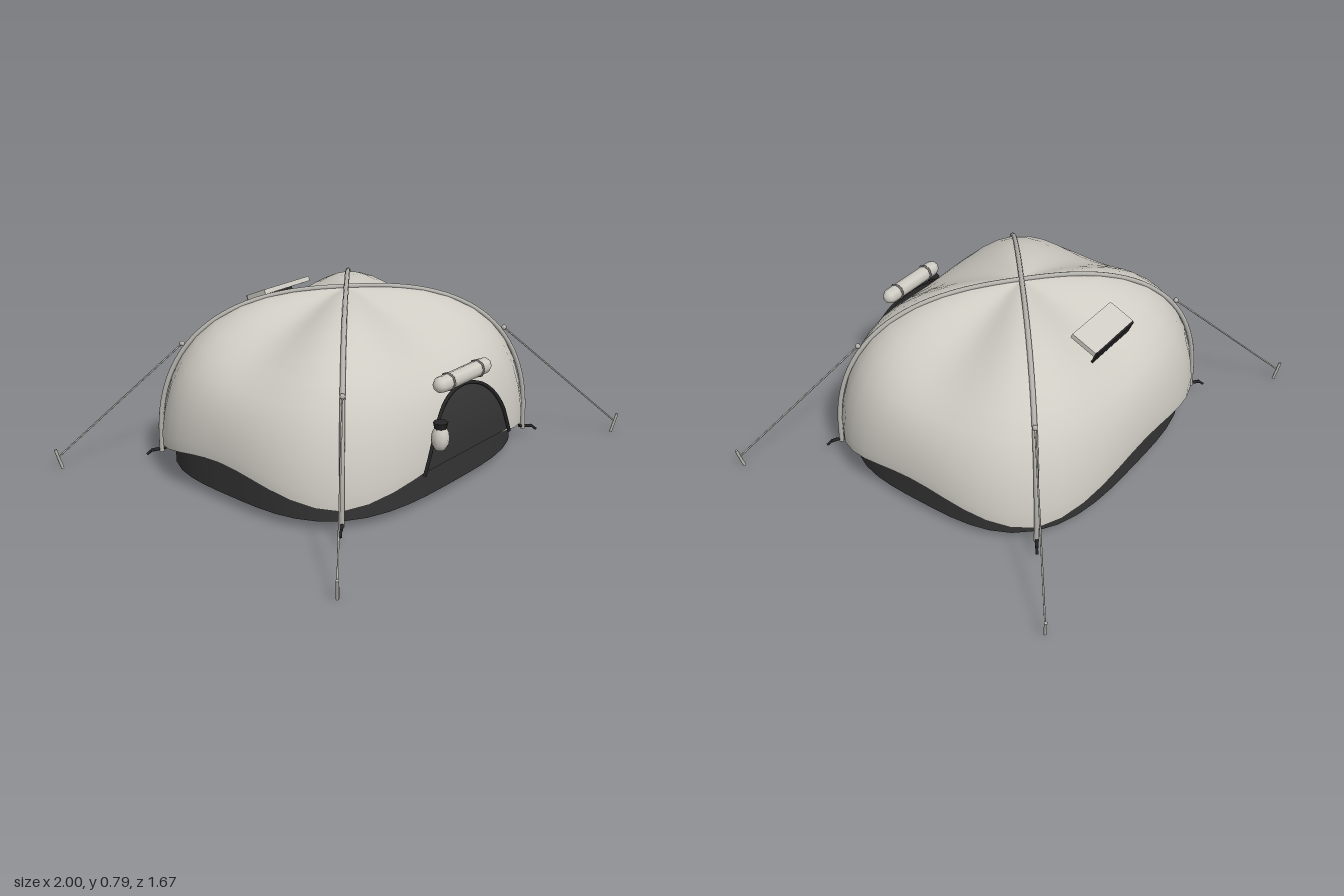
import * as THREE from 'three';

const mat = (name, color, side = THREE.FrontSide) => {
  const m = new THREE.MeshStandardMaterial({ color, side });
  m.name = name;
  return m;
};

const A = 0.78, B = 0.655, SEG = 48;

// Rounded-rectangle footprint; u = 45 degrees falls on the pole corners
function footprint(u) {
  const t = Math.atan2(B * Math.sin(u), A * Math.cos(u));
  const c = Math.cos(t), s = Math.sin(t), n = 3.2;
  const r = (Math.abs(c / A) ** n + Math.abs(s / B) ** n) ** (-1 / n);
  return [r * c, r * s];
}

// Closed surface of rings, listed from top to bottom; ring(i, u) gives [x, y, z]
function loft(rows, ring) {
  const pos = [], idx = [];
  for (let i = 0; i < rows; i++)
    for (let j = 0; j < SEG; j++) pos.push(...ring(i, (j / SEG) * Math.PI * 2));
  for (let i = 0; i < rows - 1; i++)
    for (let j = 0; j < SEG; j++) {
      const k = (j + 1) % SEG;
      const a = i * SEG + j, b = i * SEG + k, c = a + SEG, d = b + SEG;
      if (i > 0) idx.push(a, b, c);
      idx.push(b, d, c);
    }
  const g = new THREE.BufferGeometry();
  g.setAttribute('position', new THREE.Float32BufferAttribute(pos, 3));
  g.setIndex(idx);
  g.computeVertexNormals();
  return g;
}

export function createModel() {
  const root = new THREE.Group();
  root.name = 'domeTent';
  const fabric = mat('fly fabric', 0xcfccc4, THREE.DoubleSide);
  const dark = mat('dark fabric', 0x343434, THREE.DoubleSide);
  const trim = mat('black trim', 0x252525);
  const grey = mat('pole grey', 0xb4b2ac);
  const strapGrey = mat('strap grey', 0x777572);

  const add = (name, geo, m, parent = root) => {
    const mesh = new THREE.Mesh(geo, m);
    mesh.name = name;
    parent.add(mesh);
    return mesh;
  };
  const v = (x, y, z) => new THREE.Vector3(x, y, z);
  // Straight rod between two points
  const rod = (name, p, q, r, m, sides = 6) => {
    const mesh = add(name, new THREE.CylinderGeometry(r, r, p.distanceTo(q), sides), m);
    mesh.position.copy(p).add(q).multiplyScalar(0.5);
    mesh.quaternion.setFromUnitVectors(v(0, 1, 0), q.clone().sub(p).normalize());
  };

  // Fly: full ridges over the poles, sagging valleys between, scalloped hem
  const frac = [0, 0.14, 0.28, 0.42, 0.56, 0.7, 0.8, 0.88, 0.94, 0.98, 1, 1];
  const ridge = [0.775, 0.772, 0.765, 0.747, 0.712, 0.652, 0.584, 0.5, 0.4, 0.285, 0.18];
  const valley = [0.775, 0.758, 0.728, 0.69, 0.647, 0.597, 0.55, 0.5, 0.435, 0.35, 0.26];
  const wave = (u) => ((1 + Math.cos(4 * u)) / 2) ** 0.7;
  add('fly', loft(frac.length, (i, u) => {
    const [x, z] = footprint(u), w = Math.sin(2 * u) ** 2;
    const y = i < ridge.length ? ridge[i] * w + valley[i] * (1 - w) : 0.11 + 0.1 * wave(u);
    return [x * frac[i], y, z * frac[i]];
  }), fabric);

  // Open tub wall under the fly
  add('tubWall', loft(3, (i, u) => {
    const [x, z] = footprint(u), top = 0.19 + 0.035 * wave(u);
    return [x * 0.935, i < 2 ? top : 0.04, z * 0.935];
  }), dark);

  // Two crossing poles
  const poleAt = (t, lift) => {
    const s = Math.abs(Math.sin(t)) ** (2 / 2.6) * Math.sign(t);
    const y = 0.05 + (0.727 + lift) * Math.max(0, Math.cos(t)) ** (2 / 2.6);
    return v(0.638 * s, y, 0.535 * s);
  };
  [1, -1].forEach((m, n) => {
    const pts = [];
    for (let i = 0; i <= 24; i++) {
      const p = poleAt((i / 24 - 0.5) * Math.PI, n * 0.004);
      p.z *= m;
      pts.push(p);
    }
    add('pole', new THREE.TubeGeometry(new THREE.CatmullRomCurve3(pts), 64, 0.011, 8), grey);
  });

  // Guy lines, stakes and pole feet at the four corners
  for (const sx of [1, -1])
    for (const sz of [1, -1]) {
      const c = (x, y, z) => v(x * sx, y, z * sz);
      const clip = add('guyClip', new THREE.SphereGeometry(0.012, 8, 6), grey);
      clip.position.copy(c(0.55, 0.552, 0.462));
      rod('guyLine', c(0.55, 0.552, 0.462), c(0.985, 0.055, 0.82), 0.004, grey, 5);
      rod('stake', c(0.975, 0, 0.812), c(0.994, 0.09, 0.828), 0.007, grey);
      rod('footStrap', c(0.62, 0.065, 0.525), c(0.675, 0.058, 0.562), 0.008, trim);
      rod('footPeg', c(0.67, 0.062, 0.558), c(0.69, 0.04, 0.575), 0.006, trim);
    }

  // Door panel bulging with the front wall
  const arch = [[0.3, 0.19], [0.275, 0.25], [0.245, 0.32], [0.2, 0.39], [0.14, 0.445], [0.07, 0.475], [0, 0.485]];
  const doorZ = (y) => 0.677 - 0.9 * Math.max(0, y - 0.26) ** 2;
  const halfWidth = (y) => {
    for (let i = 1; i < arch.length; i++) {
      const [x0, y0] = arch[i - 1], [x1, y1] = arch[i];
      if (y <= y1) return x0 + ((x1 - x0) * (y - y0)) / (y1 - y0);
    }
    return 0;
  };
  const door = new THREE.PlaneGeometry(2, 1, 8, 20);
  const dp = door.attributes.position;
  for (let i = 0; i < dp.count; i++) {
    const y = 0.2 + (dp.getY(i) + 0.5) * 0.284;
    dp.setXYZ(i, dp.getX(i) * halfWidth(y), y, doorZ(y) - 0.006);
  }
  door.computeVertexNormals();
  add('door', door, dark);
  const edge = [...arch, ...arch.slice(0, -1).reverse().map(([x, y]) => [-x, y])];
  const edgeCurve = new THREE.CatmullRomCurve3(edge.map(([x, y]) => v(x, y, doorZ(y))));
  add('doorTrim', new THREE.TubeGeometry(edgeCurve, 40, 0.008, 6), trim);

  // Rolled door flap with two straps
  const roll = new THREE.Group();
  roll.name = 'rolledFlap';
  roll.position.set(0, 0.525, 0.632);
  root.add(roll);
  add('flapRoll', new THREE.CapsuleGeometry(0.035, 0.292, 4, 8), fabric, roll).rotation.z = Math.PI / 2;
  for (const x of [-0.1, 0.1]) {
    const s = add('flapStrap', new THREE.TorusGeometry(0.035, 0.006, 6, 8), strapGrey, roll);
    s.rotation.y = Math.PI / 2;
    s.position.x = x;
  }

  // Hanging lantern
  const lantern = new THREE.Group();
  lantern.name = 'lantern';
  lantern.position.set(-0.235, 0, 0.7);
  root.add(lantern);
  const globe = [[0, 0.29], [0.022, 0.295], [0.035, 0.318], [0.037, 0.345], [0.033, 0.37], [0.024, 0.386]];
  add('lanternGlobe', new THREE.LatheGeometry(globe.map((p) => new THREE.Vector2(...p)), 10), fabric, lantern);
  add('lanternCap', new THREE.CylinderGeometry(0.031, 0.024, 0.03, 8), trim, lantern).position.y = 0.396;

  // Rear vent hood with dark mesh
  const vent = new THREE.Group();
  vent.name = 'ventHood';
  vent.position.set(0, 0.688, -0.413);
  vent.rotation.x = -0.41;
  root.add(vent);
  add('ventTop', new THREE.BoxGeometry(0.29, 0.022, 0.125), fabric, vent);
  add('ventMesh', new THREE.BoxGeometry(0.28, 0.06, 0.009), trim, vent).position.set(0, -0.019, -0.066);

  return root;
}
